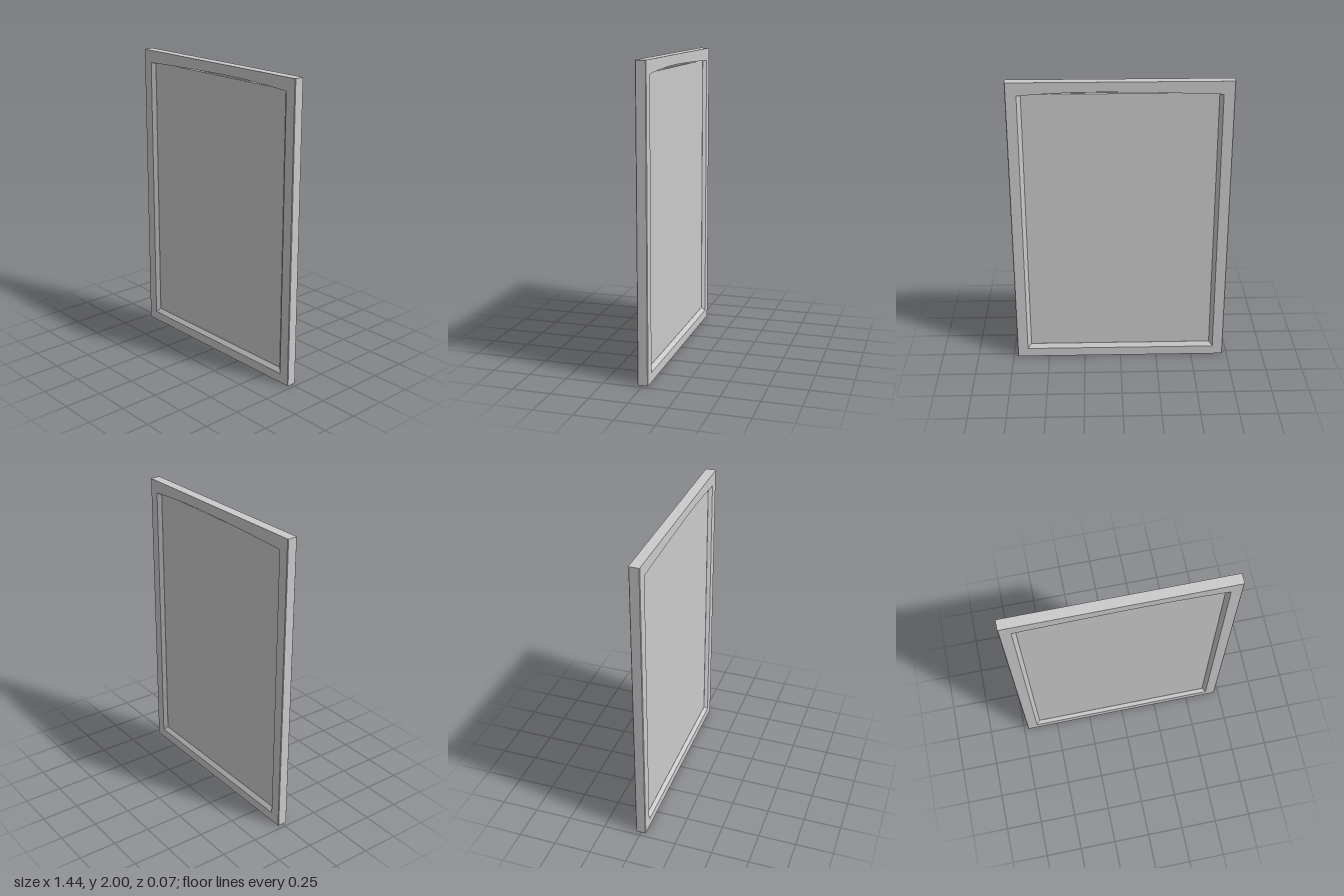
import * as THREE from 'three';

const W = 0.722, H = 2, T = 0.034; // half width, height, half thickness
const P = 0.013;                   // panel half thickness
const OPEN = 0.65, LIP = 0.025;    // half opening width, bevel run

const mat = new THREE.MeshStandardMaterial({ color: 0xcccccc, flatShading: true });

function extrude(points, depth) {
  const shape = new THREE.Shape(points.map(([x, y]) => new THREE.Vector2(x, y)));
  return new THREE.ExtrudeGeometry(shape, { depth, bevelEnabled: false });
}

function add(group, name, geometry) {
  const mesh = new THREE.Mesh(geometry, mat);
  mesh.name = name;
  group.add(mesh);
}

export function createModel() {
  const group = new THREE.Group();
  group.name = 'framedPanelDoor';

  // Upright stiles: chamfered outside, bevelled down to the panel inside
  const c = 0.004;
  const stile = [
    [OPEN - LIP, -P], [OPEN, -T], [W - c, -T], [W, -T + c],
    [W, T - c], [W - c, T], [OPEN, T], [OPEN - LIP, P],
  ];
  const left = extrude(stile, H).rotateX(-Math.PI / 2);
  add(group, 'leftStile', left);
  add(group, 'rightStile', left.clone().rotateY(Math.PI));

  // Bottom rail with a bevelled upper edge on both faces
  const rail = [[-T, 0], [T, 0], [T, 0.062], [P, 0.09], [-P, 0.09], [-T, 0.062]];
  add(group, 'bottomRail',
    extrude(rail, 2 * OPEN).rotateY(Math.PI / 2).translate(-OPEN, 0, 0));

  // Top rail with a gently arched lower edge that leaves a slit over the panel
  const top = [
    [-OPEN, 1.915], [-0.5, 1.921], [-0.2, 1.93], [0.1, 1.936],
    [0.3, 1.934], [0.5, 1.925], [OPEN, 1.915], [OPEN, H], [-OPEN, H],
  ];
  add(group, 'topRail', extrude(top, 2 * T).translate(0, 0, -T));

  // Thin recessed panel
  const y0 = 0.08, y1 = 1.918;
  add(group, 'panel', new THREE.BoxGeometry(2 * OPEN - 0.02, y1 - y0, 2 * P - 0.002)
    .translate(0, (y0 + y1) / 2, 0));

  return group;
}
